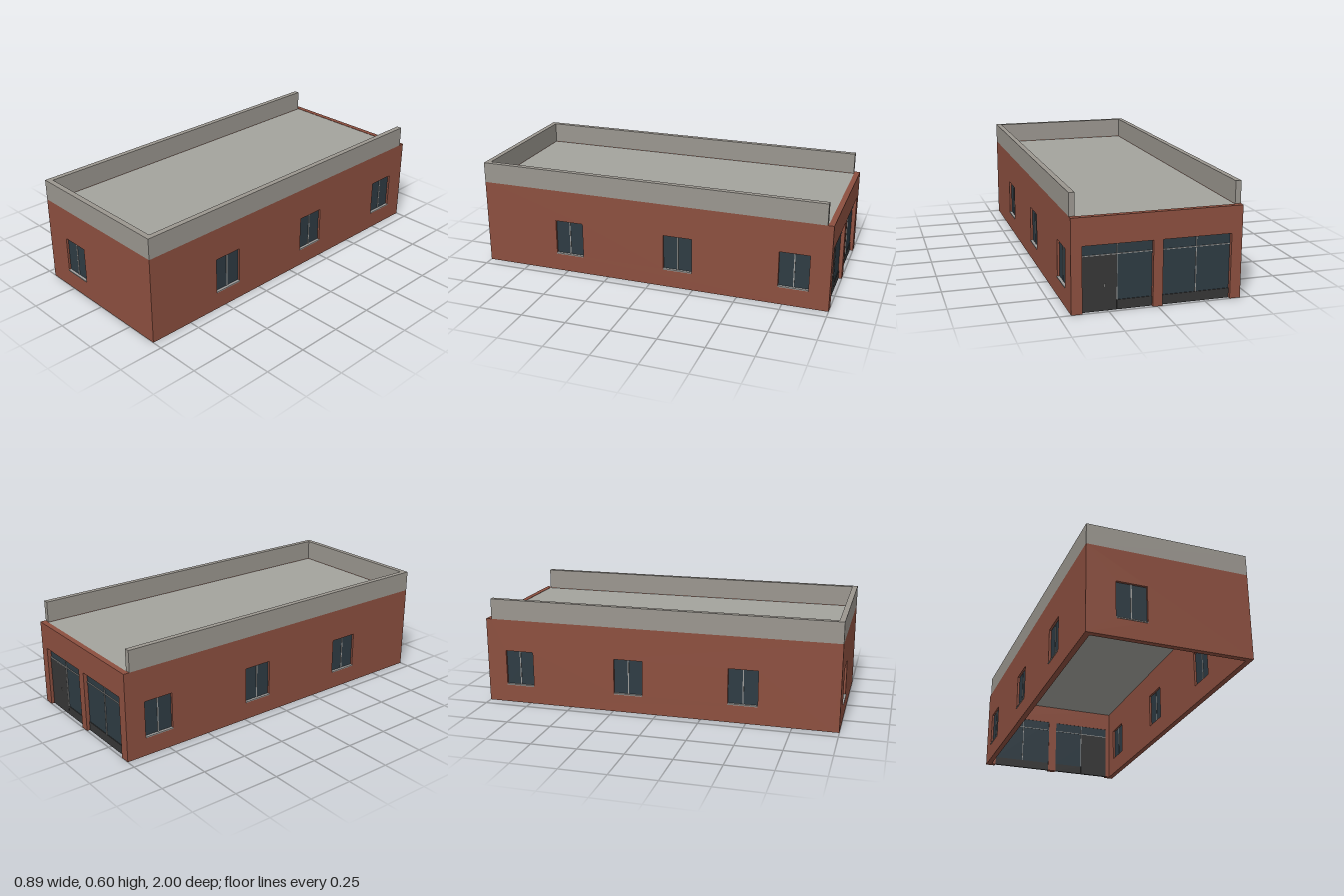
import * as THREE from 'three';

const mat = (color) => new THREE.MeshStandardMaterial({ color });
const BRICK = mat(0x8c4f3f), CONCRETE = mat(0x9a968f), ROOF = mat(0xa3a39d);
const GLASS = mat(0x2e3b43), FRAME = mat(0x9c9c9a), DOOR = mat(0x363636);

const W = 0.44, L = 1, T = 0.03;          // half width, half length, wall thickness
const WALL_H = 0.484, TOP = 0.6;
const WIN = { w: 0.164, y0: 0.105, y1: 0.303 };
const SIDE_Z = [0.482, -0.162, -0.806], FRONT_X = -0.204;

function box(parent, name, material, x0, x1, y0, y1, z0, z1) {
  const m = new THREE.Mesh(new THREE.BoxGeometry(x1 - x0, y1 - y0, z1 - z0), material);
  m.position.set((x0 + x1) / 2, (y0 + y1) / 2, (z0 + z1) / 2);
  m.name = name;
  parent.add(m);
  return m;
}

function polygon(points, Type = THREE.Shape) {
  return new Type(points.map(([x, y]) => new THREE.Vector2(x, y)));
}

// Wall panel with one rectangular hole per window
function wall(name, halfLength, centres) {
  const s = polygon([[-halfLength, 0], [halfLength, 0], [halfLength, WALL_H], [-halfLength, WALL_H]]);
  for (const c of centres) {
    const a = c - WIN.w / 2, b = c + WIN.w / 2;
    s.holes.push(polygon([[a, WIN.y0], [a, WIN.y1], [b, WIN.y1], [b, WIN.y0]], THREE.Path));
  }
  return extrude(name, s);
}

function extrude(name, shape) {
  const m = new THREE.Mesh(new THREE.ExtrudeGeometry(shape, { depth: T, bevelEnabled: false }), BRICK);
  m.name = name;
  return m;
}

// Two-pane window; the outer wall face is local z = 0
function makeWindow(name) {
  const g = new THREE.Group(), h = WIN.w / 2;
  g.name = name;
  box(g, 'glass', GLASS, -h, h, WIN.y0, WIN.y1, -0.018, -0.012);
  box(g, 'mullion', FRAME, -0.003, 0.003, WIN.y0, WIN.y1, -0.02, -0.009);
  box(g, 'sill', FRAME, -h, h, 0.101, 0.107, -0.012, 0.004);
  return g;
}

// Glazed bay of the back facade, optionally with a door on the +x half
function makeBay(name, x0, x1, withDoor) {
  const g = new THREE.Group(), mid = (x0 + x1) / 2, z = -0.978, top = 0.342, bar = 0.285;
  g.name = name;
  box(g, 'glass', GLASS, x0, x1, 0.05, top, z, z + 0.006);
  box(g, 'basePanel', DOOR, x0, withDoor ? mid : x1, 0, 0.05, z - 0.004, z + 0.006);
  box(g, 'transom', FRAME, x0, x1, bar - 0.002, bar + 0.002, z - 0.005, z + 0.008);
  box(g, 'mullion', FRAME, mid - 0.002, mid + 0.002, 0.05, top, z - 0.005, z + 0.008);
  if (withDoor) {
    box(g, 'door', DOOR, mid + 0.002, x1, 0, bar - 0.002, z - 0.004, z + 0.008);
    box(g, 'doorHandle', FRAME, 0.268, 0.273, 0.125, 0.14, z - 0.009, z - 0.004);
  }
  return g;
}

export function createModel() {
  const model = new THREE.Group();
  model.name = 'building';

  // Front wall and its window
  const front = wall('frontWall', W, [FRONT_X]);
  front.position.z = L - T;
  const frontWindow = makeWindow('frontWindow');
  frontWindow.position.set(FRONT_X, 0, L);
  model.add(front, frontWindow);

  // Side walls with three windows each
  for (const s of [1, -1]) {
    const side = s > 0 ? 'left' : 'right';
    const w = wall(side + 'Wall', L - T, SIDE_Z);
    w.rotation.y = -Math.PI / 2;
    w.position.x = s > 0 ? W : -W + T;
    model.add(w);
    SIDE_Z.forEach((z, i) => {
      const win = makeWindow(`${side}Window${i + 1}`);
      win.rotation.y = s * Math.PI / 2;
      win.position.set(s * W, 0, z);
      model.add(win);
    });
  }

  // Back wall: three piers and a lintel around two open bays
  const a = 0.025, b = 0.384, h = 0.342;
  const back = extrude('backWall', polygon([
    [-W, 0], [-b, 0], [-b, h], [-a, h], [-a, 0], [a, 0],
    [a, h], [b, h], [b, 0], [W, 0], [W, WALL_H], [-W, WALL_H],
  ]));
  back.position.z = -L;
  model.add(back, makeBay('doorBay', a, b, true), makeBay('windowBay', -b, -a, false));

  // Roof slab
  box(model, 'roof', ROOF, -W + T, W - T, 0.454, 0.482, -L + T, L - T);

  // Parapet on three sides
  box(model, 'frontParapet', CONCRETE, -W, W, WALL_H, TOP, L - T, L);
  for (const s of [1, -1]) {
    const p = box(model, s > 0 ? 'leftParapet' : 'rightParapet', CONCRETE, 0, T, WALL_H, TOP, -L + 0.033, L - T);
    p.position.x = s * (W - T / 2);
  }
  return model;
}
